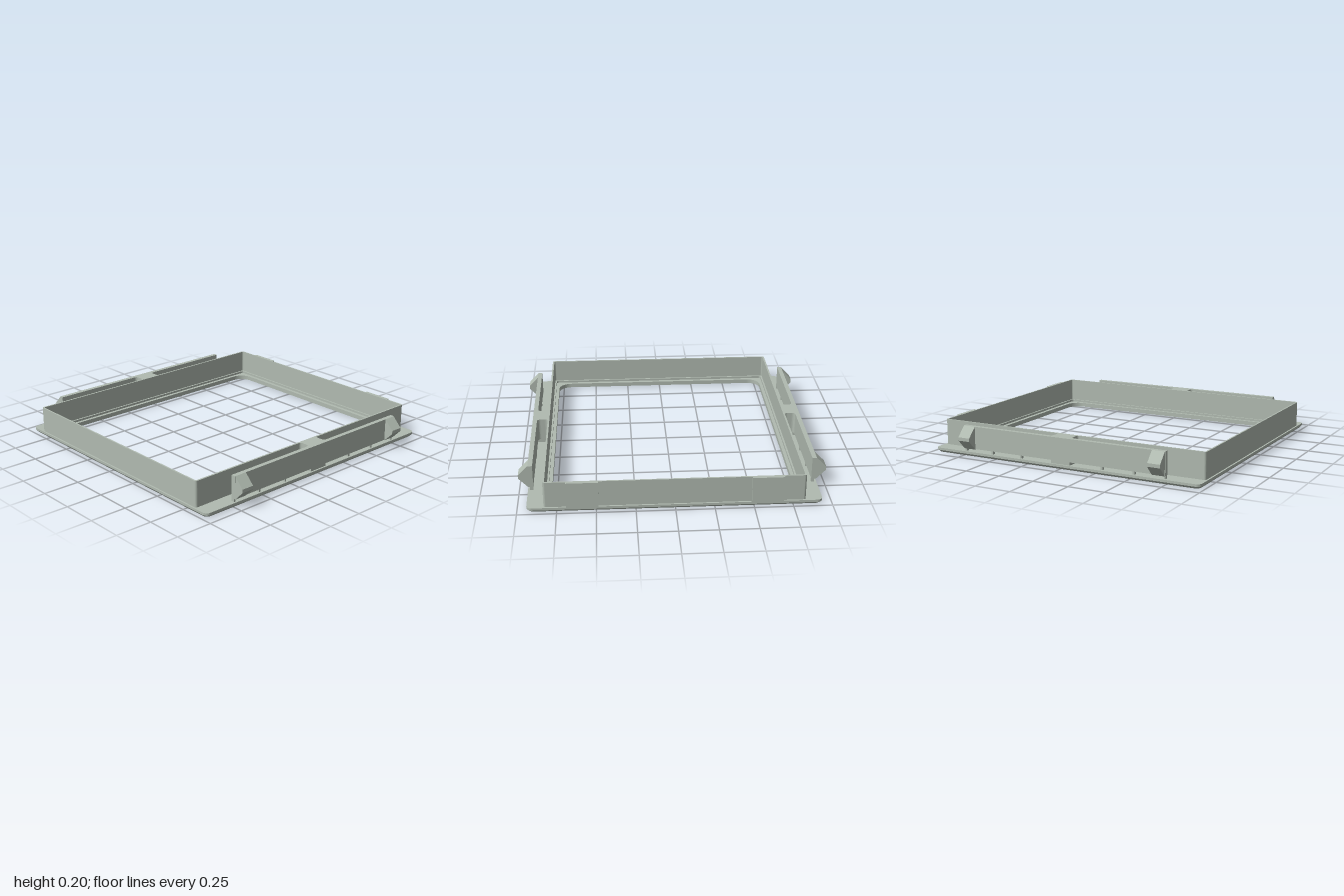
import * as THREE from 'three';

const sage = new THREE.MeshStandardMaterial({ color: 0xb0bab0 });
sage.name = 'sage';

// Rounded rectangle outline, centred, from half sizes
function roundRect(target, hx, hz, r) {
  target.moveTo(hx, -hz + r);
  target.lineTo(hx, hz - r);
  target.absarc(hx - r, hz - r, r, 0, Math.PI / 2, false);
  target.absarc(-hx + r, hz - r, r, Math.PI / 2, Math.PI, false);
  target.absarc(-hx + r, -hz + r, r, Math.PI, Math.PI * 1.5, false);
  target.absarc(hx - r, -hz + r, r, Math.PI * 1.5, Math.PI * 2, false);
  return target;
}

// Extrude a plan shape upwards from y0 to y1
function rise(shape, y0, y1) {
  const g = new THREE.ExtrudeGeometry(shape, { depth: y1 - y0, bevelEnabled: false, curveSegments: 8 });
  return g.rotateX(-Math.PI / 2).translate(0, y0, 0);
}

function ring(outer, inner, y0, y1) {
  const shape = roundRect(new THREE.Shape(), ...outer);
  shape.holes.push(roundRect(new THREE.Path(), ...inner));
  return rise(shape, y0, y1);
}

function add(group, name, geometry) {
  const mesh = new THREE.Mesh(geometry, sage);
  mesh.name = name;
  group.add(mesh);
  return mesh;
}

function box(group, name, x0, x1, y0, y1, z0, z1) {
  const g = new THREE.BoxGeometry(x1 - x0, y1 - y0, z1 - z0);
  add(group, name, g.translate((x0 + x1) / 2, (y0 + y1) / 2, (z0 + z1) / 2));
}

// Spring arm plan: long outer strip joined to the frame by a filleted bridge
function armShape() {
  const s = new THREE.Shape();
  const inner = 0.829, pocket = 0.905, out = 0.935, end = 0.745, b = 0.07, r = 0.025;
  s.moveTo(out, -end);
  s.lineTo(out, end);
  s.lineTo(pocket, end);
  s.lineTo(pocket, b + r);
  s.quadraticCurveTo(pocket, b, pocket - r, b);
  s.lineTo(inner + r, b);
  s.quadraticCurveTo(inner, b, inner, b + r);
  s.lineTo(inner, -b - r);
  s.quadraticCurveTo(inner, -b, inner + r, -b);
  s.lineTo(pocket - r, -b);
  s.quadraticCurveTo(pocket, -b, pocket, -b - r);
  s.lineTo(pocket, -end);
  s.closePath();
  return s;
}

// One side's arm with clips and thin support ribs, built for +x
function buildSide(name) {
  const side = new THREE.Group();
  side.name = name;
  add(side, 'springArm', rise(armShape(), 0.053, 0.205));
  box(side, 'bridgeFoot', 0.829, 0.928, 0.028, 0.054, -0.07, 0.07);

  const clip = new THREE.Shape([
    [0.93, 0.05], [0.937, 0.05], [1, 0.115], [1, 0.138], [0.935, 0.205], [0.93, 0.205],
  ].map(([x, y]) => new THREE.Vector2(x, y)));
  for (const s of [-1, 1]) {
    const g = new THREE.ExtrudeGeometry(clip, { depth: 0.087, bevelEnabled: false });
    add(side, 'clip', g.translate(0, 0, s * 0.698 - 0.0435));
    for (const z of [0.3, 0.525, 0.737]) {
      box(side, 'supportRib', 0.905, 0.926, 0.028, 0.054, s * z - 0.006, s * z + 0.006);
    }
  }
  return side;
}

export function createModel() {
  const model = new THREE.Group();
  model.name = 'clipInFrame';

  // Base flange, its lower outer edge chamfered
  const opening = [0.785, 0.918, 0.09];
  add(model, 'flange', ring([0.94, 0.978, 0.035], opening, 0.014, 0.03));
  const chamfer = ring([0.94, 0.978, 0.035], opening, 0, 0.014);
  const p = chamfer.attributes.position;
  for (let i = 0; i < p.count; i++) {
    const x = p.getX(i), z = p.getZ(i);
    const isOuter = Math.abs(x) > 0.79 || Math.abs(z) > 0.925;
    if (isOuter && p.getY(i) < 0.007) p.setXYZ(i, x - Math.sign(x) * 0.012, 0, z - Math.sign(z) * 0.012);
  }
  chamfer.computeVertexNormals();
  add(model, 'flangeChamfer', chamfer);

  // Upright wall with a low step inside
  add(model, 'wall', ring([0.832, 0.967, 0.015], [0.82, 0.956, 0.01], 0.028, 0.205));
  add(model, 'innerStep', ring([0.824, 0.96, 0.012], [0.808, 0.944, 0.015], 0.028, 0.045));

  // Back pads
  for (const s of [-1, 1]) {
    box(model, 'backPad', s * 0.587 - 0.102, s * 0.587 + 0.102, 0.028, 0.205, -0.985, -0.96);
  }

  // Side arms, the right one turned half round
  model.add(buildSide('leftSide'));
  const right = buildSide('rightSide');
  right.rotation.y = Math.PI;
  model.add(right);
  return model;
}
